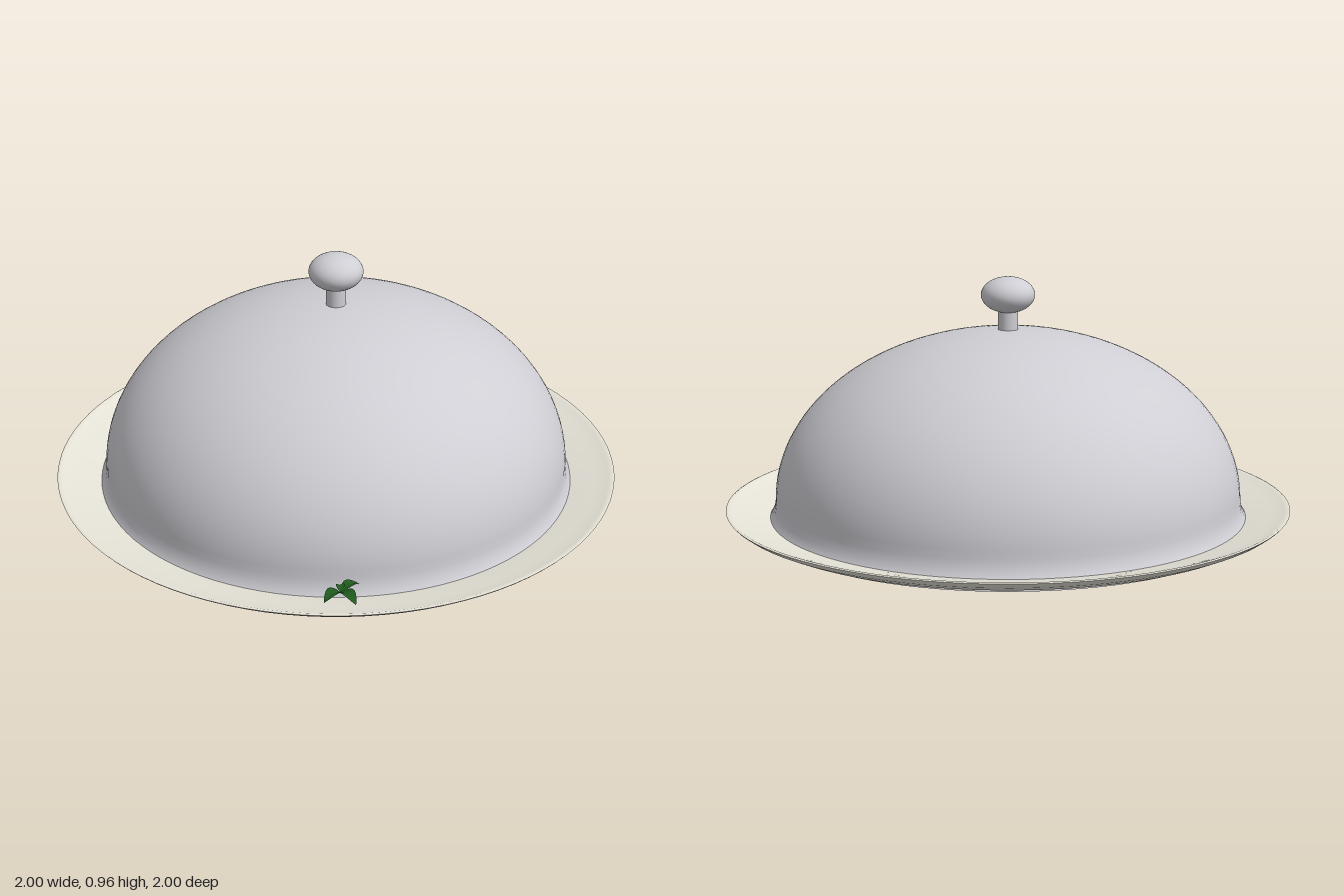
import * as THREE from 'three';

const material = (color) => new THREE.MeshStandardMaterial({ color, side: THREE.DoubleSide });

function addMesh(parent, name, geometry, mat) {
  const mesh = new THREE.Mesh(geometry, mat);
  mesh.name = name;
  parent.add(mesh);
  return mesh;
}

const points = (list) => list.map(([r, y]) => new THREE.Vector2(r, y));
const lathe = (list) => new THREE.LatheGeometry(points(list), 96);

// Pointed leaf along +z: narrow at both ends, folded at the midrib, arched along its length
function leafGeometry(length, width) {
  const geo = new THREE.PlaneGeometry(2, 1, 4, 8);
  const pos = geo.attributes.position;
  for (let i = 0; i < pos.count; i++) {
    const side = pos.getX(i);
    const t = pos.getY(i) + 0.5;
    const half = width * Math.pow(Math.sin(Math.PI * Math.pow(t, 0.8)), 0.8) || 0;
    const y = 0.016 * Math.sin(Math.PI * t) + 0.35 * half * Math.abs(side) - 0.004 * t;
    pos.setXYZ(i, -side * half, y, t * length);
  }
  geo.computeVertexNormals();
  return geo;
}

export function createModel() {
  const model = new THREE.Group();
  const china = material(0xe6e3d8);
  const metal = material(0xcfced4);
  const green = material(0x1f5a1c);

  // Plate: underside with recessed foot ring, then rim and upper surface
  const plate = new THREE.Group();
  plate.name = 'plate';
  model.add(plate);
  addMesh(plate, 'plateUnderside', lathe([
    [0, 0.014], [0.395, 0.014], [0.408, 0.01], [0.415, 0.002], [0.425, 0],
  ]), china);
  addMesh(plate, 'plateFoot', lathe([[0.425, 0], [0.452, 0], [0.475, 0.028], [0.485, 0.037], [0.5, 0.042]]), china);
  addMesh(plate, 'plateBody', lathe([
    [0.5, 0.042], [0.6, 0.047], [0.7, 0.054], [0.76, 0.068], [0.86, 0.094],
    [0.93, 0.113], [0.975, 0.134], [0.995, 0.149], [1, 0.155],
  ]), china);
  addMesh(plate, 'plateTop', lathe([
    [1, 0.155], [0.993, 0.158], [0.98, 0.153], [0.93, 0.139], [0.845, 0.122],
    [0.75, 0.095], [0.68, 0.074], [0.5, 0.064], [0, 0.062],
  ]), china);

  // Cloche: flared lip rising into a half-ellipse dome
  const cloche = new THREE.Group();
  cloche.name = 'cloche';
  model.add(cloche);
  const profile = [[0.872, 0.09], [0.872, 0.098], [0.858, 0.108], [0.843, 0.124], [0.83, 0.15]];
  for (let i = 0; i <= 32; i++) {
    const a = (i / 32) * Math.PI / 2;
    profile.push([Math.max(0, 0.825 * Math.cos(a)), 0.18 + 0.598 * Math.sin(a)]);
  }
  addMesh(cloche, 'dome', lathe(profile), metal);

  // Handle: short stem and flattened ball
  const stem = addMesh(cloche, 'handleStem', new THREE.CylinderGeometry(0.035, 0.035, 0.11, 32), metal);
  stem.position.y = 0.815;
  const knob = addMesh(cloche, 'handleKnob', new THREE.SphereGeometry(0.095, 40, 24), metal);
  knob.scale.y = 0.67;
  knob.position.y = 0.9;

  // Garnish: three leaves fanning out from one point on the front rim
  const garnish = new THREE.Group();
  garnish.name = 'garnish';
  garnish.position.set(-0.012, 0.172, 0.89);
  model.add(garnish);
  const leaves = [[0.05, 0.84, 0.02], [-0.068, 0.945, 0.023], [0.034, 0.96, 0.023], [-0.016, 0.852, 0.014]];
  leaves.forEach(([x, z, width], i) => {
    const dx = x + 0.012;
    const dz = z - 0.89;
    const leaf = addMesh(garnish, 'leaf' + (i + 1), leafGeometry(Math.hypot(dx, dz), width), green);
    leaf.rotation.y = Math.atan2(dx, dz);
  });

  return model;
}
